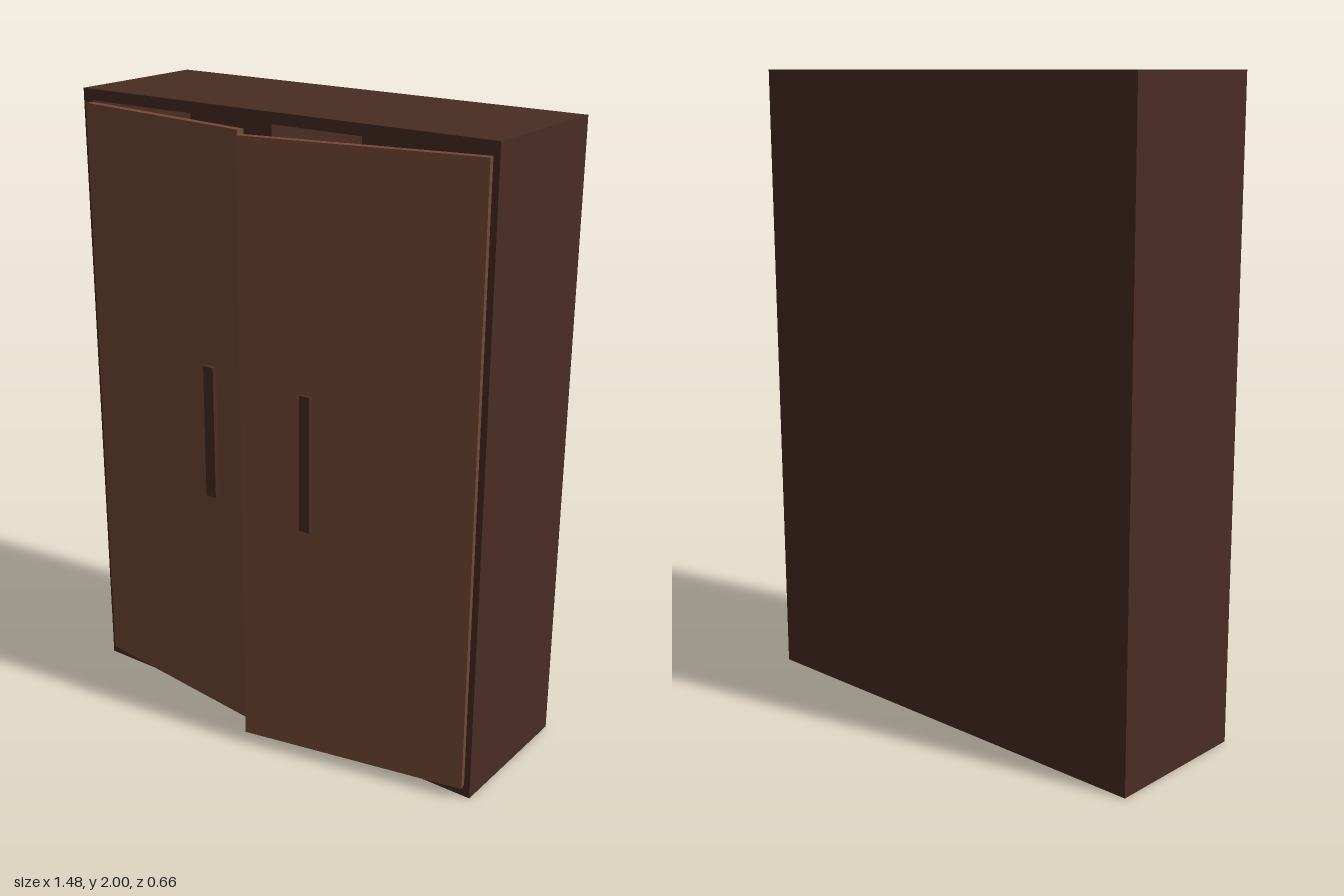
import * as THREE from 'three';

const darkWood = new THREE.MeshStandardMaterial({ color: 0x4a2c24 });
const doorWood = new THREE.MeshStandardMaterial({ color: 0x744834 });

// Box given by its lower and upper limits on each axis
function box(name, [x0, x1], [y0, y1], [z0, z1], material = darkWood) {
  const mesh = new THREE.Mesh(new THREE.BoxGeometry(x1 - x0, y1 - y0, z1 - z0), material);
  mesh.position.set((x0 + x1) / 2, (y0 + y1) / 2, (z0 + z1) / 2);
  mesh.name = name;
  return mesh;
}

// Door panel hung between its hinge edge and its free edge, each [x, z]
function door(name, [hx, hz], [fx, fz]) {
  const width = Math.hypot(fx - hx, fz - hz);
  const mesh = new THREE.Mesh(new THREE.BoxGeometry(width, 1.92, 0.025), doorWood);
  mesh.position.set((hx + fx) / 2, 1, (hz + fz) / 2);
  mesh.rotation.y = -Math.atan((fz - hz) / (fx - hx));
  mesh.name = name;
  return mesh;
}

export function createModel() {
  const group = new THREE.Group();
  group.name = 'wardrobe';

  const W = 0.74, T = 0.035, back = -0.33, front = 0.16;
  const innerBack = back + 0.03;
  const divider = [-0.03, -0.005];

  // Carcass
  group.add(
    box('rightSide', [-W, -W + T], [0, 2], [back, front]),
    box('leftSide', [W - T, W], [0, 2], [back, front]),
    box('topPanel', [-W + T, W - T], [2 - T, 2], [back, front]),
    box('bottomPanel', [-W + T, W - T], [0, T], [back, front]),
    box('backPanel', [-W + T, W - T], [T, 2 - T], [back, innerBack]),
  );

  // Inner divider and one shelf on each side of it
  group.add(
    box('divider', divider, [T, 2 - T], [innerBack, front - 0.005]),
    box('rightShelf', [-W + T, divider[0]], [0.465, 0.485], [innerBack, front - 0.01]),
    box('leftShelf', [divider[1], W - T], [0.93, 0.95], [innerBack, front - 0.01]),
  );

  // Doors standing ajar at different angles
  group.add(
    door('rightDoor', [-0.708, 0.171], [-0.042, 0.251]),
    door('leftDoor', [0.722, 0.171], [0.003, 0.319]),
  );

  // Upright bar handles
  group.add(
    box('rightHandle', [-0.19, -0.152], [0.8, 1.23], [0.228, 0.266]),
    box('leftHandle', [0.198, 0.235], [0.8, 1.23], [0.261, 0.299]),
  );

  return group;
}
